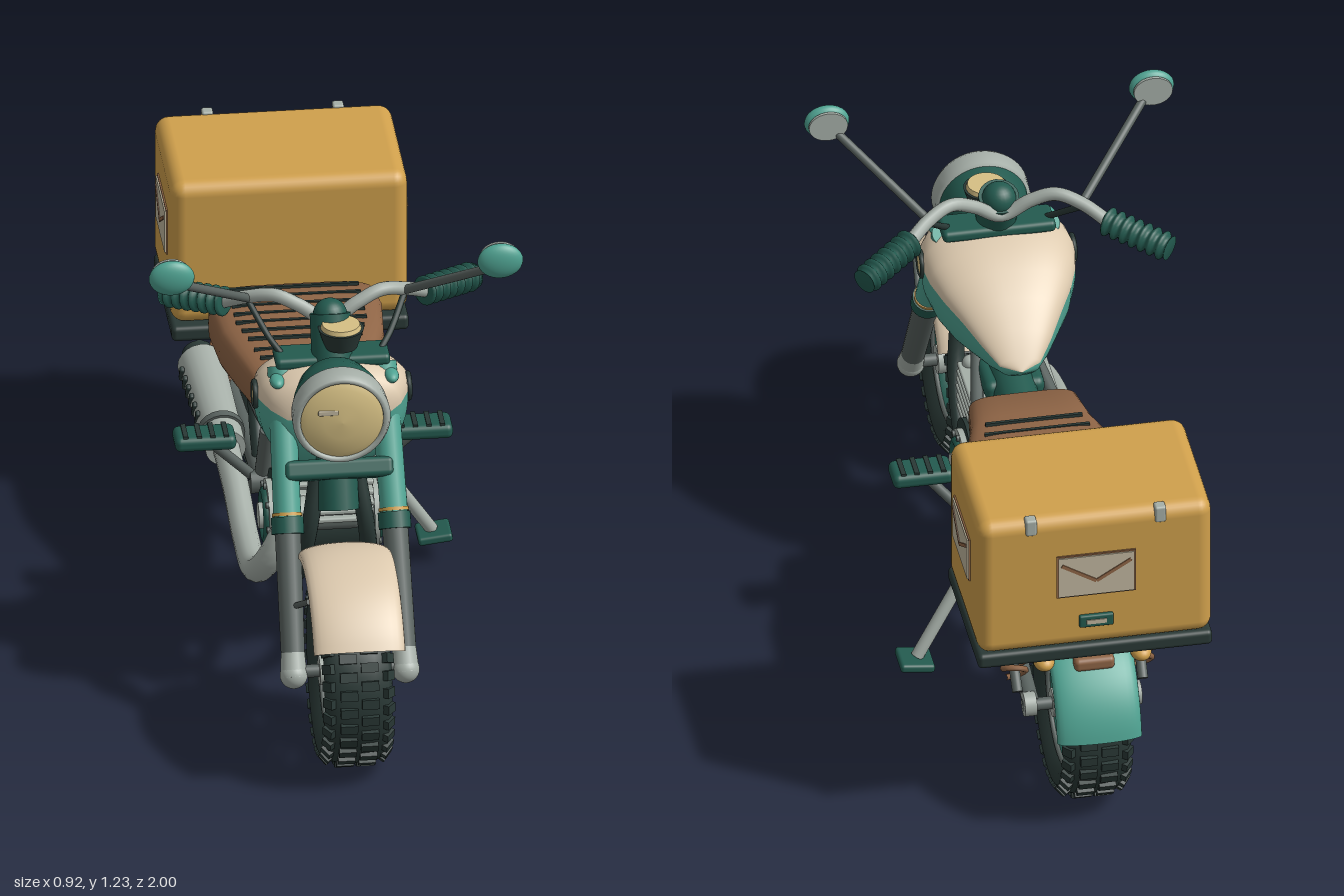
import * as THREE from 'three';
import { mergeGeometries, toCreasedNormals } from 'three/addons/utils/BufferGeometryUtils.js';
import { RoundedBoxGeometry } from 'three/addons/geometries/RoundedBoxGeometry.js';

const paint = (name, color, side = THREE.FrontSide) => {
  const m = new THREE.MeshStandardMaterial({ color, side });
  m.name = name;
  return m;
};
const V = (x, y, z) => new THREE.Vector3(x, y, z);

export function createModel() {
  const root = new THREE.Group();
  root.name = 'motorcycle';
  const teal = paint('teal', 0x4fa392, THREE.DoubleSide), pine = paint('darkTeal', 0x235a4f);
  const cream = paint('cream', 0xdcc9ae, THREE.DoubleSide), lens = paint('lens', 0xd6c084);
  const grey = paint('lightGrey', 0xa6afa8), iron = paint('darkGrey', 0x59625f);
  const rubber = paint('charcoal', 0x2a3936), amber = paint('amber', 0xd0a04c);
  const brown = paint('brown', 0x8f6546), paper = paint('paper', 0xc2b8a0);

  const add = (name, geo, mat, x = 0, y = 0, z = 0, parent = root) => {
    const m = new THREE.Mesh(geo, mat);
    m.name = name;
    m.position.set(x, y, z);
    parent.add(m);
    return m;
  };
  const box = (name, w, h, d, mat, x, y, z, parent, r = 0) =>
    add(name, r ? new RoundedBoxGeometry(w, h, d, 3, r) : new THREE.BoxGeometry(w, h, d), mat, x, y, z, parent);
  const ball = (name, r, mat, x, y, z, sx = 1, sy = 1, sz = 1) => {
    const m = add(name, new THREE.SphereGeometry(r, 24, 16), mat, x, y, z);
    m.scale.set(sx, sy, sz);
    return m;
  };
  // Lay a y-aligned geometry between two points
  const span = (name, geo, mat, a, b) => {
    const m = add(name, geo, mat);
    m.position.copy(a).lerp(b, 0.5);
    m.quaternion.setFromUnitVectors(V(0, 1, 0), b.clone().sub(a).normalize());
    return m;
  };
  const rod = (name, a, b, r, mat, r2 = r) =>
    span(name, new THREE.CylinderGeometry(r2, r, a.distanceTo(b), 20), mat, a, b);
  const tube = (name, pts, r, mat) =>
    add(name, new THREE.TubeGeometry(new THREE.CatmullRomCurve3(pts), 48, r, 12), mat);
  const disc = (name, r, w, mat, x, y, z, parent) =>
    add(name, new THREE.CylinderGeometry(r, r, w, 36).rotateZ(Math.PI / 2), mat, x, y, z, parent);
  // Skin over rows of points, front to back
  const skin = (rows) => {
    const n = rows[0].length, idx = [], g = new THREE.BufferGeometry();
    for (let i = 0; i < rows.length - 1; i++) for (let j = 0; j < n - 1; j++) {
      const a = i * n + j, c = a + n;
      idx.push(a, c, a + 1, a + 1, c, c + 1);
    }
    g.setAttribute('position', new THREE.Float32BufferAttribute(rows.flat().flatMap(p => p.toArray()), 3));
    g.setIndex(idx);
    g.computeVertexNormals();
    return g;
  };
  // Sections are [z, halfWidth, top, widest, bottom]
  const loft = (sections, t0, t1, e) => skin(sections.map(([z, w, top, mid, bot]) =>
    Array.from({ length: 33 }, (_, j) => {
      const t = t0 + (t1 - t0) * j / 32, c = Math.cos(t), s = Math.sin(t);
      return V(w * Math.sign(c) * Math.abs(c) ** e, mid + Math.sign(s) * Math.abs(s) ** e * (s > 0 ? top - mid : mid - bot), z);
    })));
  const fender = (name, z, y, R, a0, a1, w, drop, mat) => add(name, skin(
    Array.from({ length: 29 }, (_, i) => {
      const a = (a0 + (a1 - a0) * i / 28) * Math.PI / 180;
      return Array.from({ length: 17 }, (_, j) => {
        const t = Math.PI * j / 16, r = R - drop * (1 - Math.sin(t) ** 0.7);
        return V(w * Math.cos(t), y + r * Math.sin(a), z + r * Math.cos(a));
      });
    })), mat);
  const sides = (fn) => [1, -1].forEach(fn);

  // Wheels: tyre, knobs, rim, spokes and hub
  const lathe = (pts) => new THREE.LatheGeometry(pts.map(p => new THREE.Vector2(...p)), 64).rotateZ(Math.PI / 2);
  const wheel = (name, z) => {
    const g = new THREE.Group();
    g.name = name;
    g.position.set(0, 0.242, z);
    root.add(g);
    add('tyre', lathe([[.156, -.05], [.175, -.075], [.2, -.083], [.218, -.072], [.227, -.04], [.23, 0],
      [.227, .04], [.218, .072], [.2, .083], [.175, .075], [.156, .05]]), rubber, 0, 0, 0, g);
    const knobs = [];
    for (let i = 0; i < 32; i++) {
      const a = i / 32 * Math.PI * 2;
      for (const [x, r, tilt, off, w] of [[-.026, .23, 0, 0, .042], [.026, .23, 0, .5, .042], [-.073, .214, .9, .5, .03], [.073, .214, -.9, 0, .03]])
        knobs.push(new THREE.BoxGeometry(w, .016, .024).rotateZ(tilt).translate(x, r, 0).rotateX(a + off * Math.PI / 16));
    }
    add('treadKnobs', mergeGeometries(knobs), rubber, 0, 0, 0, g);
    add('rimBarrel', lathe([[.162, .056], [.15, .05], [.145, .02], [.145, -.02], [.15, -.05], [.162, -.056]]), pine, 0, 0, 0, g);
    sides(s => {
      add('rimEdge', new THREE.TorusGeometry(.156, .007, 8, 48).rotateY(Math.PI / 2), iron, s * .054, 0, 0, g);
      const spokes = [];
      for (let i = 0; i < 10; i++)
        spokes.push(new THREE.CylinderGeometry(.007, .01, .115, 8).rotateZ(s * .12).translate(s * .03, .093, 0).rotateX(i * Math.PI / 5 + s * .06));
      add('spokes', mergeGeometries(spokes), grey, 0, 0, 0, g);
      disc('hubFlange', .05, .012, grey, s * .045, 0, 0, g);
    });
    disc('hub', .036, .15, grey, 0, 0, 0, g);
    disc('axle', .016, .29, iron, 0, 0, 0, g);
  };
  wheel('frontWheel', .75);
  wheel('rearWheel', -.74);
  fender('frontFender', .75, .25, .302, 34, 144, .112, .035, cream);
  fender('rearFender', -.74, .245, .262, 70, 171, .105, .03, teal);

  // Front fork
  const onFork = (s, y) => V(s * (.137 - (y - .24) * .02), y, .75 - (y - .245) * .6);
  sides(s => {
    rod('forkUpper', onFork(s, .55), onFork(s, .88), .034, teal);
    rod('forkCollar', onFork(s, .53), onFork(s, .565), .04, pine);
    rod('forkBand', onFork(s, .567), onFork(s, .574), .037, amber);
    rod('forkLower', onFork(s, .25), onFork(s, .53), .029, iron, .032);
    rod('forkFoot', onFork(s, .23), onFork(s, .33), .033, grey, .026);
    ball('forkEnd', .034, grey, s * .137, .236, .755);
    rod('fenderStay', V(s * .125, .38, .67), V(s * .108, .48, .84), .008, iron);
  });
  const yoke = box('lowerYoke', .27, .05, .08, pine, 0, .66, .5, root, .015);
  yoke.rotation.x = -.54;
  rod('steeringHead', V(0, .56, .52), V(0, 1.0, .33), .05, pine);
  ball('stemCap', .042, pine, 0, .995, .33);
  box('topYoke', .28, .03, .09, pine, 0, .9, .36, root, .012);

  // Headlight
  const lathed = (name, pts, mat, z) => add(name, new THREE.LatheGeometry(pts.map(p => new THREE.Vector2(...p)), 48).rotateX(Math.PI / 2), mat, 0, .842, z);
  lathed('headlightShell', [[0, -.13], [.06, -.12], [.092, -.085], [.108, -.03], [.11, .02]], pine, .52);
  lathed('headlightRing', [[.108, -.005], [.118, 0], [.12, .045], [.113, .06], [.102, .06], [.1, .04]], grey, .535);
  lathed('headlightLens', [[.106, 0], [.085, .012], [.045, .02], [0, .023]], lens, .585);
  box('lensMark', .05, .014, .006, paper, -.035, .87, .604, root, .003);

  // Tank with cream top and teal belly
  const tank = [[.49, 0, .78, .78, .78], [.48, .12, .86, .79, .69], [.45, .16, .89, .805, .645], [.4, .183, .902, .812, .625],
    [.34, .19, .9, .81, .617], [.28, .18, .882, .798, .617], [.22, .157, .855, .782, .62], [.16, .122, .813, .757, .63],
    [.1, .085, .762, .722, .643], [.055, .05, .708, .69, .658], [.035, 0, .68, .68, .68]];
  add('tankTop', loft(tank, 0, Math.PI, .9), cream);
  add('tankBelly', loft(tank, Math.PI, Math.PI * 2, .8), teal);
  sides(s => {
    const badge = new THREE.Group();
    badge.name = 'tankBadge';
    badge.position.set(s * .188, .805, .36);
    root.add(badge);
    add('badgeRing', new THREE.TorusGeometry(.03, .007, 8, 28).rotateY(Math.PI / 2), rubber, 0, 0, 0, badge);
    disc('badgeFace', .028, .008, lens, 0, 0, 0, badge);
    ball('tankPatch', .03, teal, s * .14, .868, .42, .6, .5, 1);
  });

  // Speedometer
  add('gaugeCup', new THREE.CylinderGeometry(.056, .04, .05, 32), rubber, .02, .965, .39);
  add('gaugeFace', new THREE.CylinderGeometry(.046, .05, .012, 32), lens, .02, .995, .39);

  // Handlebar, grips, mirrors and cables
  const half = [[.25, .978, .2], [.19, 1.012, .245], [.13, 1.028, .275], [.07, 1.005, .292]];
  tube('handlebar', [...half.map(p => V(-p[0], p[1], p[2])), V(0, .965, .3), ...half.reverse().map(p => V(...p))], .017, grey);
  sides(s => {
    const prof = [[0, -.09]];
    for (let i = 0; i <= 42; i++) prof.push([.032 + .006 * Math.sin(i * Math.PI / 3), -.088 + i * .0042]);
    prof.push([0, .09]);
    span('grip', new THREE.LatheGeometry(prof.map(p => new THREE.Vector2(...p)), 20), pine, V(s * .235, .982, .212), V(s * .385, .956, .09));
    rod('mirrorStalk', V(s * .19, 1.01, .25), V(s * .385, 1.165, .45), .011, iron);
    ball('mirrorShell', .056, teal, s * .402, 1.187, .458, 1, .82, .42);
    const glass = add('mirrorGlass', new THREE.CylinderGeometry(.048, .048, .008, 32).rotateX(Math.PI / 2), grey, s * .402, 1.187, .437);
    glass.scale.y = .82;
    tube('cable', [V(s * .19, 1.0, .25), V(s * .15, .94, .32), V(s * .11, .89, .37), V(s * .08, .8, .42)], .008, rubber);
  });

  // Seat with stitched ribs
  add('seat', toCreasedNormals(loft([[.045, 0, .57, .57, .57], [.042, .12, .61, .57, .53], [.02, .135, .632, .575, .52], [-.08, .15, .64, .58, .52],
    [-.18, .178, .65, .585, .52], [-.28, .202, .656, .585, .52], [-.42, .213, .656, .585, .52], [-.49, .205, .65, .585, .525],
    [-.512, .17, .63, .585, .535], [-.514, 0, .585, .585, .585]], 0, Math.PI * 2, .45), .8), brown);
  for (let i = 0; i < 9; i++) {
    const z = -.12 - i * .043;
    box('seatRib', .24 + Math.min(i, 4) * .02, .008, .008, rubber, 0, z < -.2 ? .655 : .647, z);
  }
  box('seatPan', .22, .04, .52, pine, 0, .505, -.25, root, .015);
  rod('spine', V(0, .6, .4), V(0, .53, -.1), .055, pine);

  // Frame, swingarm, shocks and pegs
  sides(s => {
    tube('downTube', [V(s * .045, .66, .48), V(s * .07, .5, .5), V(s * .085, .36, .43), V(s * .09, .265, .29), V(s * .09, .24, .1),
      V(s * .1, .255, -.08), V(s * .11, .33, -.2), V(s * .11, .46, -.33)], .021, rubber);
    tube('seatRail', [V(s * .06, .6, .3), V(s * .1, .53, .08), V(s * .12, .49, -.15), V(s * .14, .495, -.5), V(s * .14, .49, -.85)], .016, iron);
    rod('rearStrut', V(s * .11, .49, -.04), V(s * .12, .32, -.09), .02, iron);
    rod('swingarm', V(s * .12, .335, -.06), V(s * .125, .245, -.74), .021, iron);
    disc('armEnd', .03, .03, grey, s * .13, .245, -.74);
    const a = V(s * .16, .485, -.53), b = V(s * .155, .27, -.72), len = a.distanceTo(b);
    rod('shockRod', a, b, .013, iron);
    const helix = Array.from({ length: 81 }, (_, i) => V(.027 * Math.cos(i * .7), (i / 80 - .5) * len * .72, .027 * Math.sin(i * .7)));
    span('shockSpring', new THREE.TubeGeometry(new THREE.CatmullRomCurve3(helix), 200, .008, 6), brown, a, b);
    rod('pegBracket', V(s * .13, .33, -.09), V(s * .25, .46, -.05), .013, iron);
    box('footPeg', .15, .038, .085, pine, s * .265, .475, -.045, root, .015);
    for (let i = 0; i < 4; i++) box('pegRib', .012, .006, .07, rubber, s * (.215 + i * .033), .495, -.045);
  });
  rod('armPivot', V(-.15, .33, -.08), V(.15, .33, -.08), .03, iron);
  rod('kickstand', V(.15, .34, -.2), V(.315, .08, -.255), .016, grey);
  const foot = box('kickstandFoot', .085, .022, .09, pine, .32, .07, -.255, root, .008);
  foot.rotation.z = .12;

  // Engine: finned cylinder over a round crankcase
  for (let i = 0; i < 6; i++) box('coolingFin', .22, .013, .24 - Math.abs(i - 2) * .012, grey, 0, .415 + i * .025, .2, root, .005);
  box('cylinderCore', .17, .17, .18, iron, 0, .46, .2, root, .02);
  box('cylinderHead', .15, .05, .15, pine, 0, .57, .19, root, .02);
  disc('crankcase', .115, .24, rubber, 0, .352, .14);
  box('gearbox', .2, .14, .2, iron, 0, .36, .02, root, .03);
  sides(s => {
    disc('crankCover', .09, .02, grey, s * .125, .352, .14);
    add('coverRing', new THREE.TorusGeometry(.06, .012, 8, 36).rotateY(Math.PI / 2), pine, s * .136, .352, .14);
    disc('coverCap', .032, .04, grey, s * .135, .352, .14);
    ball('headBolt', .02, grey, s * .08, .55, .285);
    for (let i = 0; i < 8; i++) disc('coverBolt', .008, .02, iron, s * .132, .352 + .08 * Math.sin(i * .785), .14 + .08 * Math.cos(i * .785));
  });

  // Exhaust
  tube('exhaustPipe', [V(-.04, .46, .28), V(-.1, .45, .36), V(-.15, .36, .37), V(-.175, .28, .28), V(-.18, .27, .1), V(-.185, .32, -.08), V(-.195, .365, -.22)], .033, grey);
  rod('muffler', V(-.195, .36, -.2), V(-.215, .405, -.56), .05, grey, .058);
  rod('mufflerTip', V(-.215, .405, -.55), V(-.218, .412, -.6), .04, rubber);
  rod('mufflerBand', V(-.198, .367, -.26), V(-.199, .37, -.28), .058, iron);
  for (let i = 0; i < 6; i++) {
    const slot = box('shieldSlot', .012, .045, .016, rubber, -.251 - i * .0035, .385 + i * .005, -.32 - i * .037, root, .005);
    slot.rotation.x = .5;
  }

  // Luggage box on its tray
  box('tray', .58, .04, .4, rubber, 0, .507, -.72, root, .012);
  box('luggageBox', .58, .385, .39, amber, 0, .718, -.728, root, .035);
  const envelope = (x, z, turn) => {
    const g = new THREE.Group();
    g.name = 'envelope';
    g.position.set(x, .74, z);
    g.rotation.y = turn;
    root.add(g);
    box('envelopeEdge', .196, .121, .006, brown, 0, 0, .001, g);
    box('envelopePaper', .188, .113, .009, paper, 0, 0, .003, g);
    sides(s => { box('envelopeFlap', .1, .009, .006, brown, s * .043, .01, .007, g).rotation.z = s * .55; });
  };
  envelope(.29, -.715, Math.PI / 2);
  envelope(-.29, -.715, -Math.PI / 2);
  envelope(0, -.923, Math.PI);
  box('latch', .085, .034, .014, pine, 0, .605, -.927, root, .005);
  box('latchPlate', .05, .012, .008, paper, 0, .605, -.932);
  sides(s => {
    box('lidHinge', .028, .045, .03, grey, s * .16, .893, -.912, root, .006);
    ball('rearIndicator', .026, amber, s * .12, .462, -.875, 1, .8, 1.3);
  });
  box('tailLamp', .1, .035, .04, brown, 0, .46, -.895, root, .012);
  return root;
}
